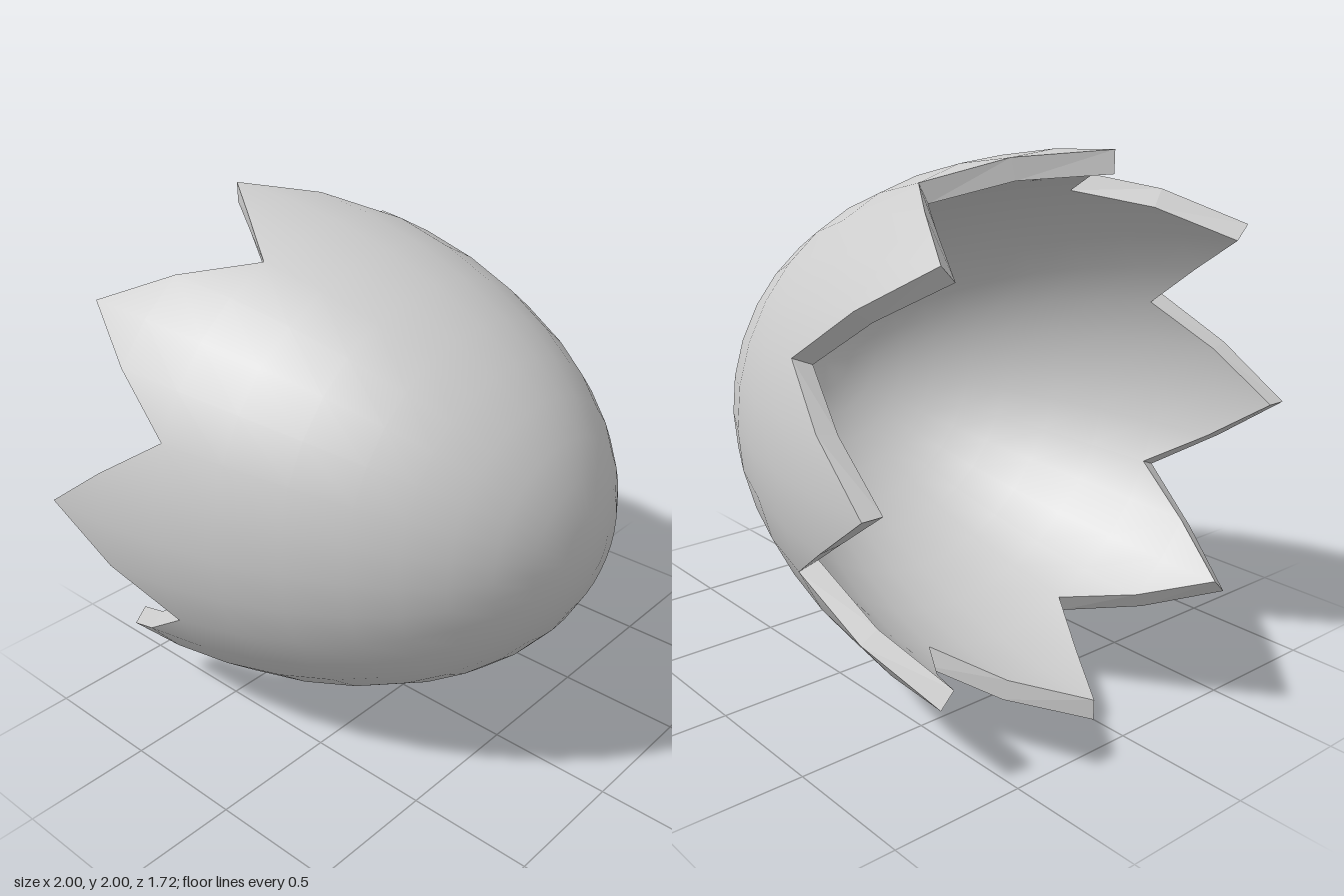
import * as THREE from 'three';

const SEGMENTS = 32, TEETH = 8, LENGTH = 1.72, WALL = 0.077;
// Profile angles from the pole (0) to the tooth tips (90)
const ROWS = [0, 7.5, 15, 22.5, 30, 37.5, 45, 54, 63, 72, 81, 90].map(THREE.MathUtils.degToRad);
const VALLEY = 9, MIDDLE = 10, TIP = 11;

// Outward normal of the half-ellipsoid
function shellNormal(row, col) {
  const a = (col / SEGMENTS) * Math.PI * 2, t = ROWS[row];
  return new THREE.Vector3(Math.sin(t) * Math.sin(a), Math.sin(t) * Math.cos(a), Math.cos(t) / LENGTH).normalize();
}

// Point on the shell, moved inward by depth
function shellPoint(row, col, depth) {
  const a = (col / SEGMENTS) * Math.PI * 2, t = ROWS[row];
  const p = new THREE.Vector3(Math.sin(t) * Math.sin(a), 1 + Math.sin(t) * Math.cos(a), -0.86 + LENGTH * Math.cos(t));
  return p.addScaledVector(shellNormal(row, col), -depth);
}

// Curved wall with a jagged border; inward flips it to face the hollow
function wallGeometry(depth, inward) {
  const positions = [], normals = [];
  const tri = (...corners) => {
    if (inward) corners.reverse();
    for (const [row, col] of corners) {
      positions.push(...shellPoint(row, col, depth).toArray());
      normals.push(...shellNormal(row, col).multiplyScalar(inward ? -1 : 1).toArray());
    }
  };
  const quad = (row, col) => {
    if (row > 0) tri([row, col], [row, col + 1], [row + 1, col + 1]);
    tri([row, col], [row + 1, col + 1], [row + 1, col]);
  };
  for (let row = 0; row < VALLEY; row++) {
    for (let col = 0; col < SEGMENTS; col++) quad(row, col);
  }
  // Pointed teeth
  for (let t = 0; t < TEETH; t++) {
    const c = t * 4;
    tri([VALLEY, c - 2], [VALLEY, c - 1], [MIDDLE, c - 1]);
    quad(VALLEY, c - 1);
    quad(VALLEY, c);
    tri([VALLEY, c + 1], [VALLEY, c + 2], [MIDDLE, c + 1]);
    tri([MIDDLE, c - 1], [MIDDLE, c], [TIP, c]);
    tri([MIDDLE, c], [MIDDLE, c + 1], [TIP, c]);
  }
  const g = new THREE.BufferGeometry();
  g.setAttribute('position', new THREE.Float32BufferAttribute(positions, 3));
  g.setAttribute('normal', new THREE.Float32BufferAttribute(normals, 3));
  return g;
}

// Flat broken edge joining the outer and inner walls
function rimGeometry() {
  const positions = [];
  for (let t = 0; t < TEETH; t++) {
    const c = t * 4;
    const path = [[VALLEY, c - 2], [MIDDLE, c - 1], [TIP, c], [MIDDLE, c + 1], [VALLEY, c + 2]];
    for (let i = 0; i < 4; i++) {
      const p = shellPoint(...path[i], 0), q = shellPoint(...path[i + 1], 0);
      const pi = shellPoint(...path[i], WALL), qi = shellPoint(...path[i + 1], WALL);
      for (const v of [p, q, qi, p, qi, pi]) positions.push(v.x, v.y, v.z);
    }
  }
  const g = new THREE.BufferGeometry();
  g.setAttribute('position', new THREE.Float32BufferAttribute(positions, 3));
  g.computeVertexNormals();
  return g;
}

export function createModel() {
  const group = new THREE.Group();
  group.name = 'brokenEggshell';
  const shell = new THREE.MeshStandardMaterial({ color: 0xcccccc });
  shell.name = 'shell grey';
  const add = (name, geometry) => {
    const mesh = new THREE.Mesh(geometry, shell);
    mesh.name = name;
    group.add(mesh);
  };
  add('outerShell', wallGeometry(0, false));
  add('innerShell', wallGeometry(WALL, true));
  add('jaggedRim', rimGeometry());
  return group;
}
